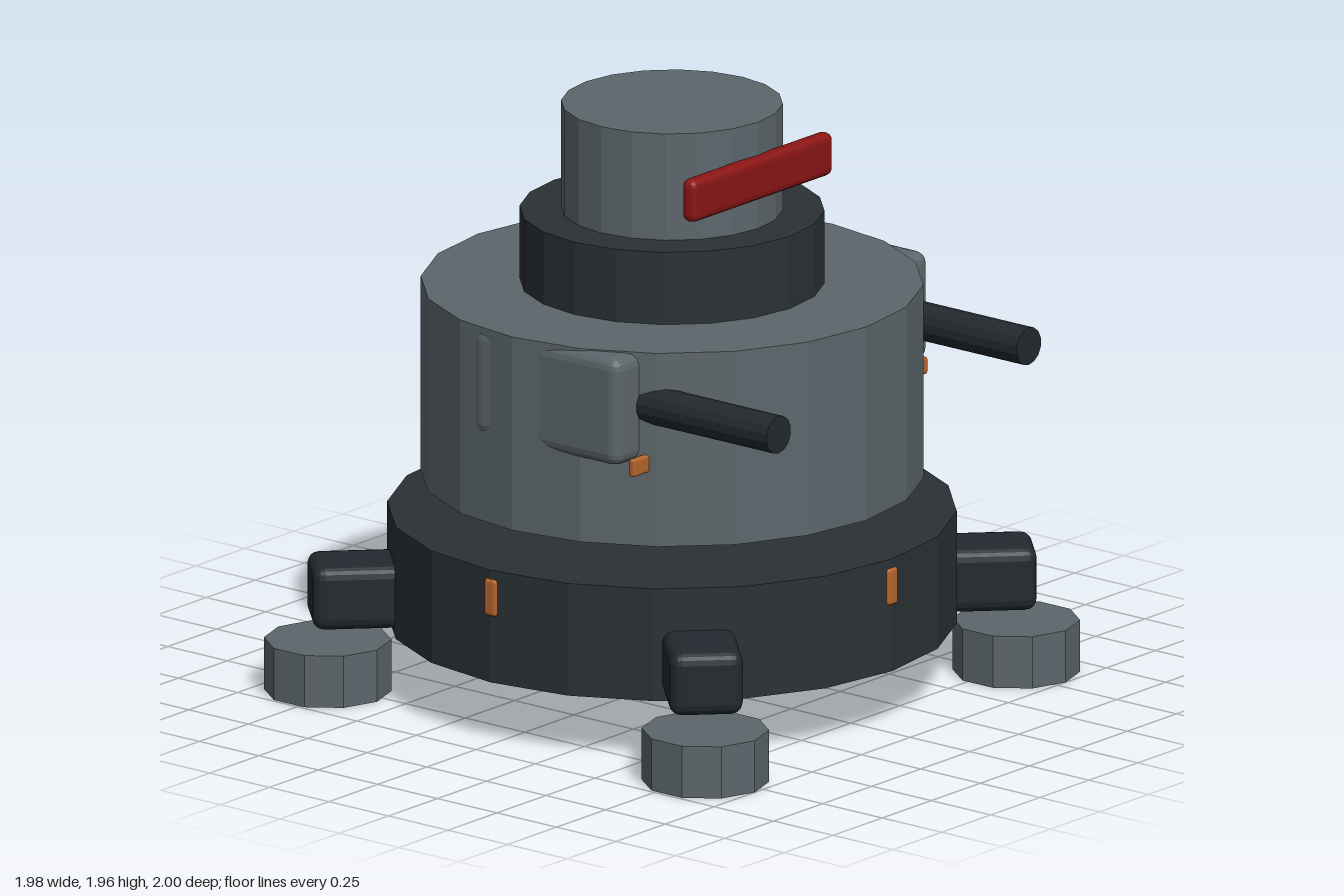
import * as THREE from 'three';
import { RoundedBoxGeometry } from 'three/addons/geometries/RoundedBoxGeometry.js';

const paint = (color) => new THREE.MeshStandardMaterial({ color, flatShading: true });

export function createModel() {
  const model = new THREE.Group();
  model.name = 'turret';
  const steel = paint(0x5c666b);
  const dark = paint(0x2a3135);
  const darker = paint(0x23292e);
  const red = paint(0x8a1515);
  const orange = paint(0xb5652b);

  const add = (name, geometry, material, x, y, z, parent = model) => {
    const mesh = new THREE.Mesh(geometry, material);
    mesh.name = name;
    mesh.position.set(x, y, z);
    parent.add(mesh);
    return mesh;
  };
  // Upright drum between two heights
  const drum = (name, radius, y0, y1, sides, material, x = 0, z = 0) =>
    add(name, new THREE.CylinderGeometry(radius, radius, y1 - y0, sides), material, x, (y0 + y1) / 2, z);
  const block = (w, h, d, r) => new RoundedBoxGeometry(w, h, d, 2, r);

  // Stacked drums
  drum('base', 0.925, 0.21, 0.59, 20, dark);
  drum('body', 0.816, 0.7, 1.355, 20, steel);
  drum('collar', 0.495, 1.355, 1.6, 20, dark);
  drum('head', 0.36, 1.6, 1.96, 20, steel);

  // Visor bar across the front of the head
  add('visor', block(0.72, 0.145, 0.057, 0.025), red, 0, 1.775, 0.359);

  // Four diagonal legs with feet, and a lamp on each side of the base
  for (let i = 0; i < 4; i++) {
    const leg = new THREE.Group();
    leg.name = 'legArm';
    leg.rotation.y = Math.PI / 4 + i * Math.PI / 2;
    add('leg', block(0.24, 0.215, 0.44, 0.04), darker, 0, 0.338, 0.96, leg);
    model.add(leg);
    drum('foot', 0.207, 0, 0.175, 10, steel, i < 2 ? 0.793 : -0.793, i % 3 ? -0.793 : 0.793);

    const lamp = new THREE.Group();
    lamp.name = 'baseLampMount';
    lamp.rotation.y = i * Math.PI / 2;
    add('baseLamp', block(0.05, 0.125, 0.04, 0.012), orange, 0, 0.498, 0.913, lamp);
    model.add(lamp);
  }

  // Side pods, each with a forward barrel and a small lamp
  for (const [side, s] of [['left', 1], ['right', -1]]) {
    add(side + 'Pod', block(0.24, 0.365, 0.61, 0.04), steel, s * 0.68, 1.168, 0.122);
    const barrel = add(side + 'Barrel', new THREE.CylinderGeometry(0.063, 0.063, 0.6, 14), darker, s * 0.638, 1.17, 0.673);
    barrel.rotation.x = Math.PI / 2;
    add(side + 'PodLamp', block(0.082, 0.058, 0.025, 0.008), orange, s * 0.709, 0.98, 0.446);
  }
  return model;
}
